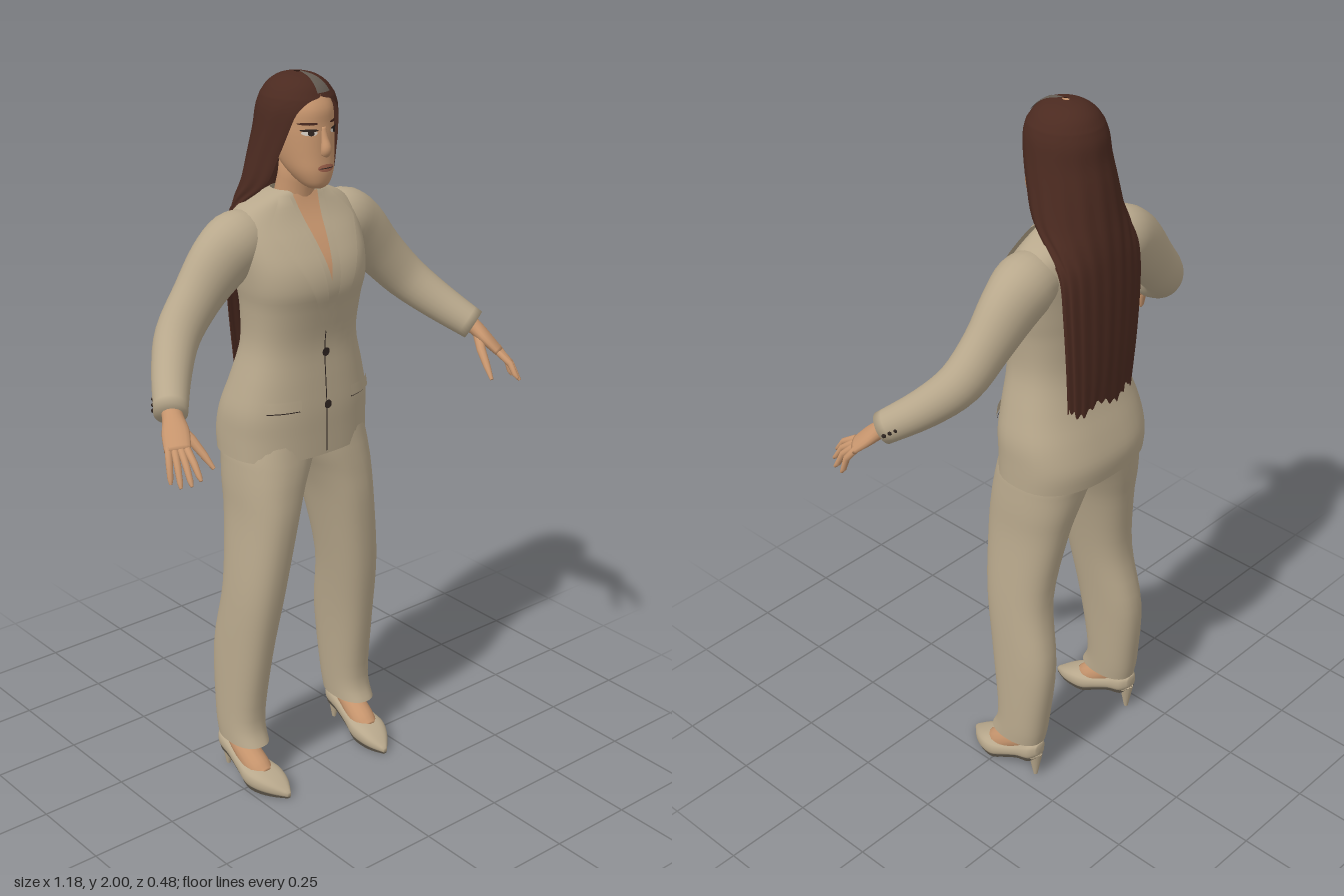
import * as THREE from 'three';

const mat = (name, color, side = THREE.FrontSide) =>
  Object.assign(new THREE.MeshStandardMaterial({ color, side }), { name });
const V = (x, y, z) => new THREE.Vector3(x, y, z);
const sgnPow = (v, e) => Math.sign(v) * Math.pow(Math.abs(v), e);

// Smooth a table of rows with a Catmull-Rom curve, n steps per span
function smooth(rows, n = 4) {
  const out = [], at = i => rows[Math.max(0, Math.min(rows.length - 1, i))];
  for (let i = 0; i < rows.length - 1; i++) {
    for (let k = 0; k < n; k++) {
      const t = k / n;
      out.push(rows[i].map((b, c) => {
        const a = at(i - 1)[c], d = at(i + 1)[c], e = at(i + 2)[c];
        return b + 0.5 * t * (d - a + t * (2 * a - 5 * b + 4 * d - e + t * (3 * (b - d) + e - a)));
      }));
    }
  }
  out.push(rows[rows.length - 1]);
  return out;
}

// Skin a list of point rings; closed wraps around, caps fills both ends
function loft(rings, closed = true, caps = closed) {
  const m = rings[0].length, pos = [], idx = [];
  rings.forEach(r => r.forEach(p => pos.push(p.x, p.y, p.z)));
  for (let i = 0; i < rings.length - 1; i++) {
    for (let j = 0; j < (closed ? m : m - 1); j++) {
      const a = i * m + j, b = i * m + (j + 1) % m, c = a + m, d = b + m;
      idx.push(a, c, b, b, c, d);
    }
  }
  if (caps) {
    [0, rings.length - 1].forEach((r, end) => {
      const c = rings[r].reduce((s, p) => s.add(p), V(0, 0, 0)).divideScalar(m);
      const k = pos.length / 3;
      pos.push(c.x, c.y, c.z);
      for (let j = 0; j < m; j++) {
        const a = r * m + j, b = r * m + (j + 1) % m;
        end ? idx.push(a, k, b) : idx.push(a, b, k);
      }
    });
  }
  const g = new THREE.BufferGeometry();
  g.setAttribute('position', new THREE.Float32BufferAttribute(pos, 3));
  g.setIndex(idx);
  g.computeVertexNormals();
  return g;
}

// Horizontal cross-sections: row = [y, xMin, xMax, zFront, zBack]
function body(rows, p, caps = true, m = 40) {
  return loft(rows.map(([y, x0, x1, f, b]) => Array.from({ length: m }, (_, j) => {
    const t = j / m * Math.PI * 2;
    return V((x0 + x1) / 2 + (x1 - x0) / 2 * sgnPow(Math.cos(t), 2 / p), y,
      (f + b) / 2 + (f - b) / 2 * sgnPow(Math.sin(t), 2 / p));
  })), true, caps);
}

// Tube along rows [x, y, z, ru, rv] with its first radius lying along ref
function limb(rows, ref = V(0, 0, 1), m = 16) {
  const pts = rows.map(r => V(r[0], r[1], r[2]));
  return loft(rows.map((r, i) => {
    const T = pts[Math.min(i + 1, pts.length - 1)].clone().sub(pts[Math.max(i - 1, 0)]).normalize();
    const U = ref.clone().addScaledVector(T, -ref.dot(T)).normalize(), W = U.clone().cross(T);
    return Array.from({ length: m }, (_, j) => {
      const t = j / m * Math.PI * 2;
      return pts[i].clone().addScaledVector(U, r[3] * Math.cos(t)).addScaledVector(W, (r[4] ?? r[3]) * Math.sin(t));
    });
  }));
}

// Front depth of a symmetric body at (x, y)
const frontOf = (rows, p) => (x, y) => {
  let i = 0;
  while (i < rows.length - 2 && rows[i + 1][0] < y) i++;
  const k = Math.max(0, Math.min(1, (y - rows[i][0]) / (rows[i + 1][0] - rows[i][0])));
  const [, , w, f, b] = rows[i].map((v, c) => v + (rows[i + 1][c] - v) * k);
  return (f + b) / 2 + (f - b) / 2 * Math.pow(Math.max(0, 1 - Math.pow(Math.abs(x) / w, p)), 1 / p);
};

// Thin sheet laid over a front surface between two edges
function patch(front, y0, y1, left, right, off, n = 14) {
  return loft(Array.from({ length: n + 1 }, (_, i) => {
    const y = y0 + (y1 - y0) * i / n;
    return Array.from({ length: 9 }, (_, j) => {
      const x = right(y) + (left(y) - right(y)) * j / 8;
      return V(x, y, front(x, y) + off);
    });
  }), false);
}
const oval = (front, cx, cy, rx, ry, off) => {
  const half = y => rx * Math.sqrt(Math.max(0, 1 - ((y - cy) / ry) ** 2));
  return patch(front, cy - ry, cy + ry, y => cx - half(y), y => cx + half(y), off);
};

function mirror(g) {
  const h = g.clone().scale(-1, 1, 1), a = h.index.array;
  for (let i = 0; i < a.length; i += 3) [a[i], a[i + 1]] = [a[i + 1], a[i]];
  return h;
}

export function createModel() {
  const suit = mat('beige suit', 0xb8a88c, THREE.DoubleSide), skin = mat('skin', 0xc8966e, THREE.DoubleSide);
  const hair = mat('brown hair', 0x4b2a20, THREE.DoubleSide), scalp = mat('grey parting', 0x655d54, THREE.DoubleSide);
  const dark = mat('dark trim', 0x2e2420, THREE.DoubleSide), sole = mat('shoe sole', 0x4a443a, THREE.DoubleSide);
  const lip = mat('lips', 0xa5664f, THREE.DoubleSide), white = mat('eye white', 0xd8cfc4, THREE.DoubleSide);
  const model = new THREE.Group();
  model.name = 'woman in suit';
  const add = (name, g, m) => {
    const o = new THREE.Mesh(g, m);
    o.name = name;
    model.add(o);
  };
  const pair = (name, g, m) => { add(name + 'Left', g, m); add(name + 'Right', mirror(g), m); };

  // Jacket body
  const torso = smooth([[0.99, 0.215, 0.06, -0.235], [1.05, 0.215, 0.06, -0.24], [1.12, 0.212, 0.06, -0.22],
    [1.2, 0.192, 0.055, -0.19], [1.3, 0.167, 0.05, -0.165], [1.4, 0.17, 0.066, -0.165], [1.46, 0.18, 0.078, -0.17],
    [1.52, 0.187, 0.068, -0.175], [1.58, 0.192, 0.035, -0.18], [1.63, 0.185, 0, -0.175], [1.665, 0.15, -0.02, -0.16],
    [1.69, 0.09, -0.03, -0.135], [1.7, 0.06, -0.035, -0.125]].map(([y, w, f, b]) => [y, -w, w, f, b]));
  add('jacketBody', body(torso, 2.5, false), suit);
  const chest = frontOf(torso, 2.5);

  // Open neckline, lapels, front edge, pockets and buttons
  const inner = y => 0.055 * (y - 1.34) / 0.35;
  add('neckline', patch(chest, 1.48, 1.692, y => -0.04 * (y - 1.48) / 0.21, y => 0.04 * (y - 1.48) / 0.21, 0.005), skin);
  const outer = y => y > 1.62 ? 0.14 - (y - 1.62) * 0.85 : 0.008 + 0.132 * (y - 1.34) / 0.28;
  pair('lapel', patch(chest, 1.34, 1.69, inner, outer, 0.012, 28), suit);
  add('frontEdge', patch(chest, 1.0, 1.34, () => -0.002, () => 0.001, 0.003), dark);
  pair('pocketFlap', patch(chest, 1.135, 1.165, () => 0.085, () => 0.175, 0.009), suit);
  pair('pocketSeam', patch(chest, 1.131, 1.135, () => 0.088, () => 0.172, 0.005), dark);
  for (const y of [1.28, 1.135]) add('jacketButton', oval(chest, 0, y, 0.012, 0.012, 0.008), dark);

  // Sleeves with cuff buttons
  pair('sleeve', limb(smooth([[0.13, 1.585, -0.09, 0.07, 0.07], [0.18, 1.575, -0.09, 0.078, 0.086],
    [0.24, 1.53, -0.09, 0.068, 0.084], [0.31, 1.458, -0.085, 0.058, 0.07], [0.385, 1.378, -0.066, 0.056, 0.062],
    [0.45, 1.31, -0.005, 0.05, 0.053], [0.515, 1.245, 0.08, 0.043, 0.043]]), V(0, 0, 1), 24), suit);
  for (let i = 0; i < 3; i++)
    pair('cuffButton', new THREE.SphereGeometry(0.006, 10, 8).translate(0.543 - i * 0.009, 1.25 + i * 0.009, 0.046 - i * 0.012), dark);

  // Hands
  const across = V(0.66, 0, -0.75);
  pair('palm', limb(smooth([[0.505, 1.256, 0.066, 0.026, 0.024], [0.516, 1.237, 0.09, 0.027, 0.021],
    [0.53, 1.21, 0.12, 0.035, 0.017], [0.548, 1.178, 0.152, 0.033, 0.012]]), across), skin);
  const tips = [[0.54, 1.125, 0.236], [0.56, 1.112, 0.225], [0.577, 1.104, 0.203], [0.584, 1.105, 0.17]];
  tips.forEach(([x, y, z], i) => {
    const k = -0.024 + i * 0.016, bx = 0.546 + 0.66 * k, bz = 0.15 - 0.75 * k;
    pair('finger', limb([[bx, 1.183, bz, 0.0095], [(bx + x) / 2 + 0.003, (1.183 + y) / 2 + 0.006, (bz + z) / 2 + 0.004, 0.009],
      [x * 0.85 + bx * 0.15, y * 0.85 + 1.183 * 0.15, z * 0.85 + bz * 0.15, 0.0075], [x, y, z, 0.004]], across, 10), skin);
  });
  pair('thumb', limb([[0.515, 1.222, 0.098, 0.014], [0.495, 1.19, 0.135, 0.013], [0.483, 1.155, 0.172, 0.01], [0.475, 1.127, 0.2, 0.005]], across, 10), skin);

  // Trousers
  pair('trouserLeg', body(smooth([[0.125, 0.14, 0.25, 0.017, -0.155], [0.2, 0.135, 0.25, -0.006, -0.167],
    [0.4, 0.12, 0.245, 0.02, -0.183], [0.6, 0.095, 0.235, 0.05, -0.152], [0.8, 0.055, 0.216, 0.065, -0.175],
    [0.9, 0.022, 0.213, 0.062, -0.195], [0.96, -0.008, 0.21, 0.057, -0.205], [1.0, -0.025, 0.206, 0.052, -0.21],
    [1.06, -0.03, 0.19, 0.045, -0.2]]), 2.3, false), suit);

  // Feet and pointed heeled shoes: row = [z, xCentre, halfWidth, yBottom, yTop]
  pair('foot', limb(smooth([[0.2, 0.2, -0.09, 0.033], [0.2, 0.125, -0.088, 0.034], [0.2, 0.088, -0.05, 0.036],
    [0.197, 0.05, 0, 0.037], [0.195, 0.035, 0.03, 0.028]]), V(1, 0, 0)), skin);
  const shoe = smooth([[-0.157, 0.2, 0.016, 0.085, 0.122], [-0.135, 0.2, 0.036, 0.066, 0.126], [-0.09, 0.2, 0.038, 0.052, 0.1],
    [-0.04, 0.2, 0.043, 0.026, 0.076], [0, 0.198, 0.051, 0.006, 0.066], [0.04, 0.194, 0.05, 0.003, 0.06],
    [0.08, 0.187, 0.035, 0.003, 0.043], [0.118, 0.18, 0.007, 0.004, 0.018]]);
  pair('shoe', loft(shoe.map(([z, x, w, b, t]) => Array.from({ length: 24 }, (_, j) => {
    const a = j / 24 * Math.PI * 2;
    return V(x + w * sgnPow(Math.cos(a), 0.75), (b + t) / 2 - (t - b) / 2 * sgnPow(Math.sin(a), 0.75), z);
  }))), suit);
  pair('shoeSole', loft(shoe.map(([z, x, w, b]) => [1, 0, -1].map(s => V(x + s * w * 0.78, b - 0.003, z))), false), sole);
  pair('shoeHeel', new THREE.CylinderGeometry(0.021, 0.006, 0.08, 12).translate(0.2, 0.04, -0.138), suit);

  // Neck and head
  add('neck', limb([[0, 1.6, -0.085, 0.06], [0, 1.68, -0.075, 0.052], [0, 1.73, -0.062, 0.05], [0, 1.8, -0.05, 0.05]], V(1, 0, 0), 24), skin);
  const skull = smooth([[1.715, 0.02, 0.036, -0.01], [1.728, 0.037, 0.049, -0.035], [1.76, 0.056, 0.055, -0.08],
    [1.8, 0.067, 0.052, -0.12], [1.85, 0.074, 0.049, -0.145], [1.88, 0.075, 0.046, -0.15], [1.92, 0.074, 0.042, -0.15],
    [1.96, 0.058, 0.014, -0.13], [1.985, 0.03, -0.02, -0.1]].map(([y, w, f, b]) => [y, -w, w, f, b]));
  add('head', body(skull, 2.2), skin);
  const face = frontOf(skull, 2.2);

  // Face
  add('nose', limb(smooth([[0, 1.873, 0.041, 0.008], [0, 1.845, 0.049, 0.01], [0, 1.82, 0.056, 0.014], [0, 1.806, 0.05, 0.012]]), V(1, 0, 0)), skin);
  add('lips', oval(face, 0, 1.772, 0.025, 0.01, 0.004), lip);
  add('mouthLine', oval(face, 0, 1.772, 0.023, 0.0012, 0.006), dark);
  pair('eyeWhite', oval(face, 0.038, 1.862, 0.017, 0.007, 0.002), white);
  pair('iris', oval(face, 0.037, 1.862, 0.007, 0.0068, 0.004), dark);
  pair('eyelashes', oval(face, 0.039, 1.869, 0.019, 0.0035, 0.005), dark);
  pair('eyebrow', oval(face, 0.04, 1.885, 0.021, 0.0035, 0.003), hair);

  // Long hair: row = [y, rx, zCentre, rz, half sweep from the back]
  const locks = smooth([[1.21, 0.12, -0.18, 0.032, 1.57], [1.35, 0.132, -0.184, 0.036, 1.57], [1.5, 0.142, -0.182, 0.04, 1.57],
    [1.6, 0.143, -0.172, 0.046, 1.6], [1.66, 0.138, -0.14, 0.072, 1.8], [1.72, 0.13, -0.102, 0.1, 2.1], [1.8, 0.118, -0.08, 0.108, 2.2],
    [1.86, 0.11, -0.067, 0.108, 2.3], [1.91, 0.104, -0.062, 0.107, 2.45], [1.938, 0.096, -0.06, 0.1, 2.75], [1.95, 0.09, -0.06, 0.094, 3.14],
    [1.972, 0.073, -0.06, 0.078, 3.14], [1.99, 0.045, -0.06, 0.05, 3.14], [1.998, 0.008, -0.06, 0.01, 3.14]]);
  const onHair = ([y, rx, zc, rz], t, k = 1) => V(rx * k * Math.sin(t), y, zc - rz * k * Math.cos(t));
  add('hair', loft(locks.map(r => Array.from({ length: 73 }, (_, j) => {
    const u = j / 36 - 1, t = u * Math.min(r[4], Math.PI), low = Math.max(0, Math.min(1, (1.95 - r[0]) / 0.4));
    const p = onHair(r, t, 1 + low * 0.025 * Math.sin(u * 31));
    if (r[0] < 1.3) p.y += (1.3 - r[0]) / 0.09 * (0.012 * Math.sin(u * 9) + 0.008 * Math.sin(u * 37));
    return p;
  })), false), hair);
  add('hairParting', loft(locks.filter(r => r[0] > 1.951).map(r => Array.from({ length: 7 }, (_, j) =>
    onHair(r, 2.7 + j * 0.09, 1.01).add(V(0, 0.002, 0)))), false), scalp);
  return model;
}
